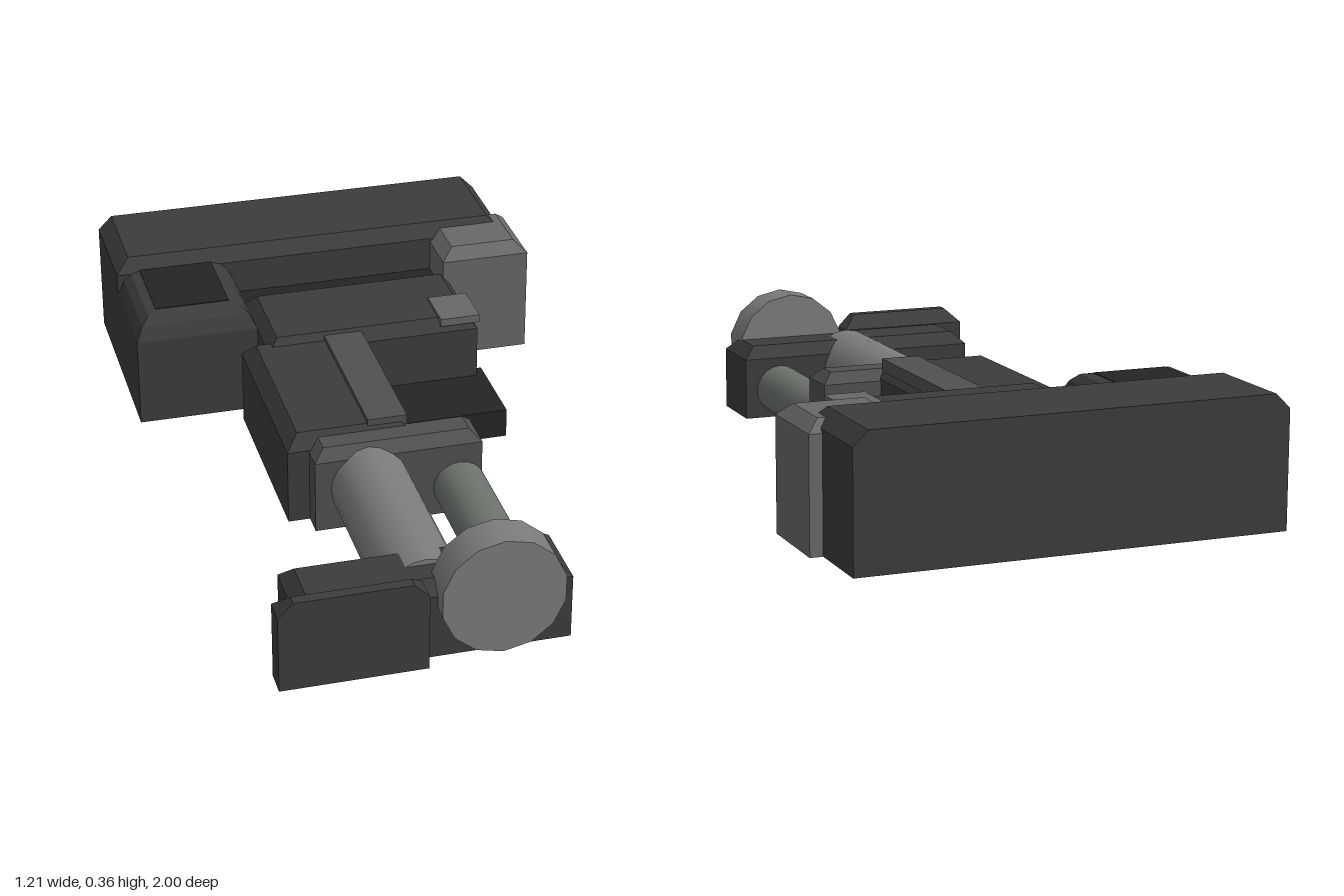
import * as THREE from 'three';

const mat = (color, flatShading = true) => new THREE.MeshStandardMaterial({ color, flatShading });
const MAIN = mat(0x3c3c3c), MID = mat(0x505050), LIGHT = mat(0x686868), DARK = mat(0x242424);

// Block standing on rings [height, inset]; sides gives the share of inset on -x, +x, -z, +z
function block(name, material, [x0, x1], [z0, z1], rings, sides = [1, 1, 1, 1]) {
  const n = rings.length - 1;
  const geo = new THREE.BoxGeometry(1, 1, 1, 1, n, 1);
  const p = geo.attributes.position;
  for (let i = 0; i < p.count; i++) {
    const [y, inset] = rings[Math.round((p.getY(i) + 0.5) * n)];
    const x = p.getX(i) < 0 ? x0 + inset * sides[0] : x1 - inset * sides[1];
    const z = p.getZ(i) < 0 ? z0 + inset * sides[2] : z1 - inset * sides[3];
    p.setXYZ(i, x, y, z);
  }
  const flat = geo.toNonIndexed();
  flat.computeVertexNormals();
  const mesh = new THREE.Mesh(flat, material);
  mesh.name = name;
  return mesh;
}

// Cylinder lying along z
function rod(name, color, x, y, radius, z0, z1, segments) {
  const geo = new THREE.CylinderGeometry(radius, radius, z1 - z0, segments);
  geo.rotateX(Math.PI / 2);
  const mesh = new THREE.Mesh(geo, mat(color, false));
  mesh.position.set(x, y, (z0 + z1) / 2);
  mesh.name = name;
  return mesh;
}

export function createModel() {
  const model = new THREE.Group();
  model.name = 'blockAssembly';

  // Wide rear block and the two blocks in front of its ends
  model.add(
    block('rearBlock', MAIN, [-0.605, 0.57], [-1, -0.685], [[0, 0], [0.32, 0], [0.36, 0.04]], [1, 1, 0, 0.8]),
    block('rightShoulder', MAIN, [-0.605, -0.255], [-0.7, -0.375],
      [[0, 0], [0.26, 0], [0.3, 0.02], [0.32, 0.042], [0.325, 0.068]], [1, 1, 0, 1]),
    block('rightShoulderCap', DARK, [-0.537, -0.323], [-0.7, -0.443], [[0.31, 0], [0.327, 0]]),
    block('leftShoulder', LIGHT, [0.345, 0.605], [-0.79, -0.54], [[0, 0], [0.31, 0], [0.342, 0.035]])
  );

  // Middle section
  model.add(
    block('recessedLink', DARK, [-0.25, 0.345], [-0.7, -0.56], [[0, 0], [0.22, 0]]),
    block('middleBlock', MAIN, [-0.25, 0.365], [-0.57, -0.25], [[0, 0], [0.24, 0], [0.275, 0.03]]),
    block('smallPad', LIGHT, [0.255, 0.37], [-0.39, -0.25], [[0.26, 0], [0.283, 0]]),
    block('lowSlab', DARK, [0, 0.39], [-0.29, -0.035], [[0, 0], [0.085, 0]])
  );

  // Long body with its raised strip
  model.add(
    block('body', MAIN, [-0.315, 0.04], [-0.32, 0.25], [[0, 0], [0.215, 0], [0.255, 0.035]]),
    block('bodyStrip', MID, [-0.085, 0.025], [-0.27, 0.22], [[0.22, 0], [0.268, 0]]),
    block('waistPlate', MID, [-0.255, 0.21], [0.19, 0.315], [[0, 0], [0.21, 0], [0.24, 0.03]])
  );

  // Two rods of different thickness
  model.add(
    rod('thickRod', 0x7c7c7c, -0.103, 0.122, 0.108, 0.22, 0.86, 20),
    rod('thinRod', 0x6c726c, 0.147, 0.083, 0.073, 0.285, 0.86, 20)
  );

  // Front crossbar, plate and round disc
  const disc = rod('frontDisc', 0x7c7c7c, 0.0625, 0.181, 0.164, 0.895, 1, 14);
  disc.geometry.rotateZ(Math.PI / 14 * (14 / 4 % 1 ? 0 : 1));
  model.add(
    block('crossbar', MAIN, [-0.46, 0.255], [0.758, 0.955], [[0, 0], [0.18, 0], [0.215, 0.035]]),
    block('frontPlate', MAIN, [-0.515, -0.13], [0.93, 1], [[0, 0], [0.215, 0], [0.255, 0.04]], [1, 1, 1, 0]),
    disc
  );
  return model;
}
